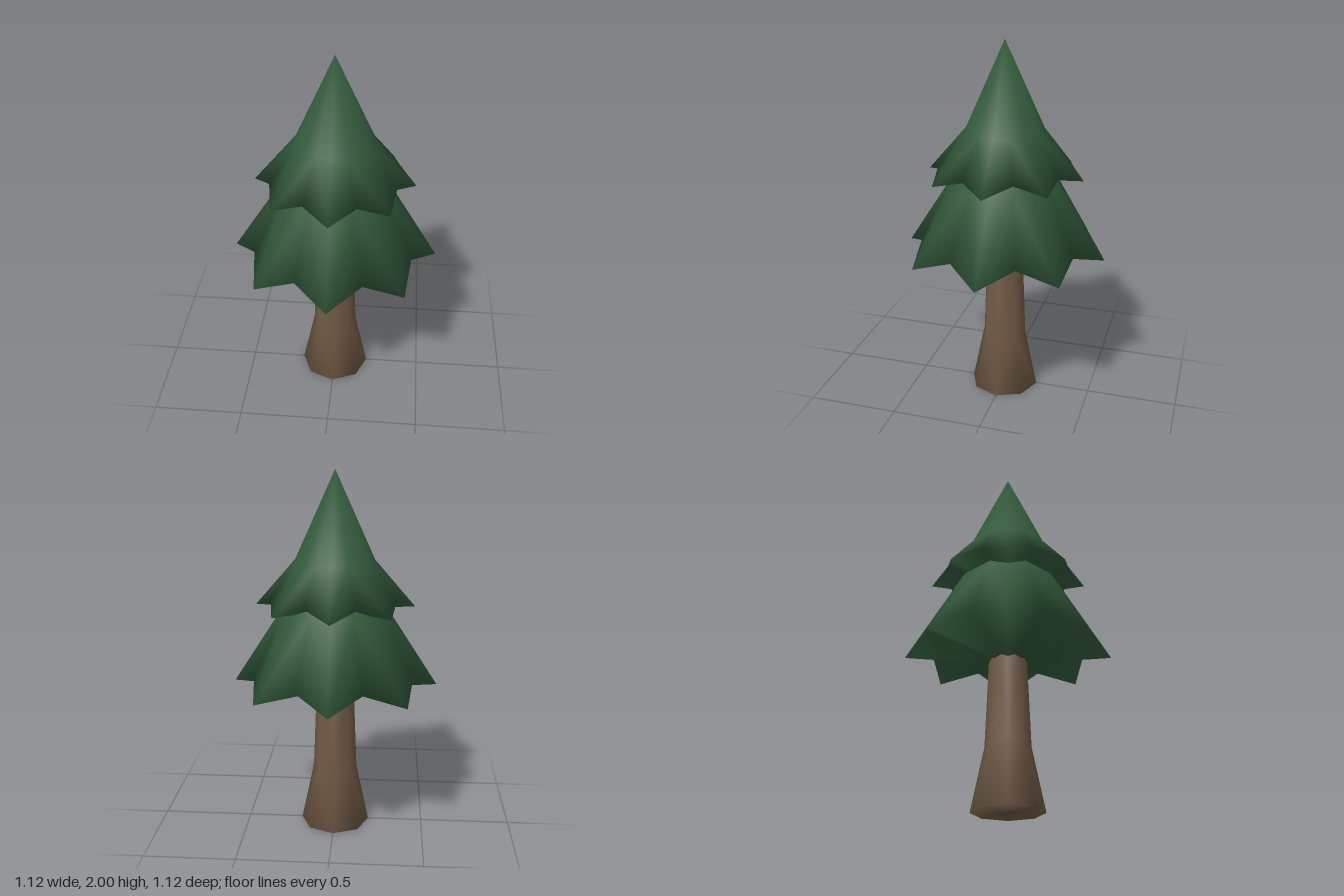
import * as THREE from 'three';

const needles = new THREE.MeshStandardMaterial({ color: 0x32593b });
needles.name = 'pine green';
const bark = new THREE.MeshStandardMaterial({ color: 0x6e5844 });
bark.name = 'bark brown';

// Closed smooth skin: top pole, rings from top to bottom, bottom pole.
// Each ring is a function of the step number giving [radius, height].
function skin(name, material, sides, topY, rings, bottomY) {
  const pos = [0, topY, 0];
  const index = [];
  for (const ring of rings) {
    for (let i = 0; i < sides; i++) {
      const a = (i / sides) * Math.PI * 2;
      const [r, y] = ring(i);
      pos.push(Math.sin(a) * r, y, Math.cos(a) * r);
    }
  }
  pos.push(0, bottomY, 0);
  const bottom = pos.length / 3 - 1;
  const at = (ring, i) => 1 + ring * sides + (i % sides);
  for (let i = 0; i < sides; i++) {
    index.push(0, at(0, i), at(0, i + 1));
    for (let k = 0; k < rings.length - 1; k++) {
      const a = at(k, i), b = at(k, i + 1), c = at(k + 1, i), d = at(k + 1, i + 1);
      // diagonals always run down to the branch tips
      if (i % 2 === 0) index.push(a, c, b, b, c, d);
      else index.push(a, c, d, a, d, b);
    }
    const last = rings.length - 1;
    index.push(at(last, i), bottom, at(last, i + 1));
  }
  const geo = new THREE.BufferGeometry();
  geo.setAttribute('position', new THREE.Float32BufferAttribute(pos, 3));
  geo.setIndex(index);
  geo.computeVertexNormals();
  const mesh = new THREE.Mesh(geo, material);
  mesh.name = name;
  return mesh;
}

// Foliage tier: cone, shoulder, then a skirt of eight points with raised notches
function tier(name, topY, shoulder, tip, notch, bottomY) {
  const rings = [() => shoulder, (i) => (i % 2 === 0 ? tip : notch)];
  return skin(name, needles, 16, topY, rings, bottomY);
}

export function createModel() {
  const tree = new THREE.Group();
  tree.name = 'pineTree';

  // Flared eight-sided trunk, its top hidden in the foliage
  const trunkRings = [[0.1, 0.9], [0.122, 0.34], [0.192, 0]].map((p) => () => p);
  tree.add(skin('trunk', bark, 8, 0.9, trunkRings, 0));

  tree.add(tier('lowerFoliage', 1.72, [0.275, 1.28], [0.56, 0.84], [0.459, 0.92], 0.8));
  tree.add(tier('upperFoliage', 2, [0.213, 1.53], [0.43, 1.28], [0.357, 1.335], 1.255));
  return tree;
}
